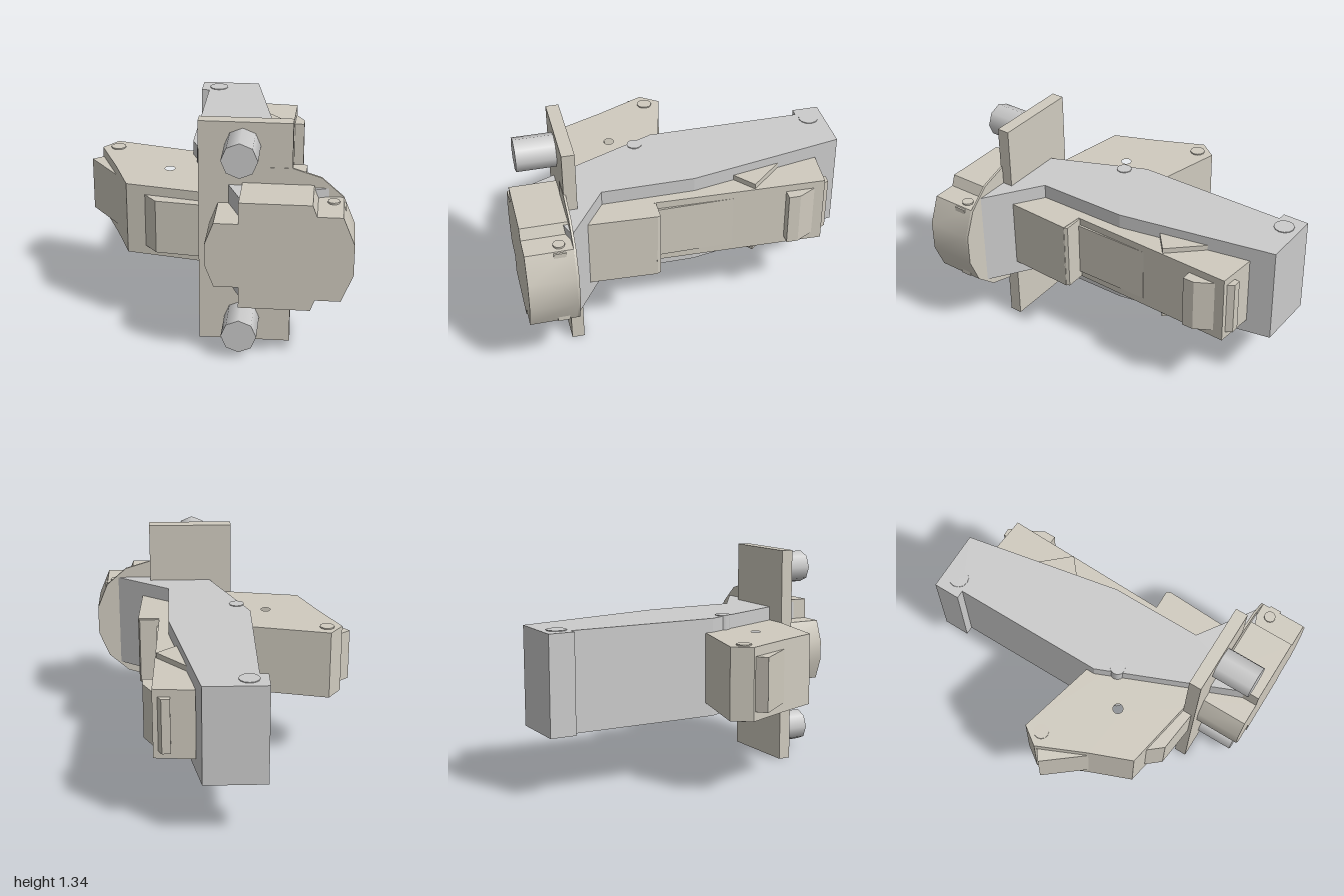
import * as THREE from 'three';
import { toCreasedNormals } from 'three/addons/utils/BufferGeometryUtils.js';

const MID = 0.67; // height of the mirror plane
const grey = new THREE.MeshStandardMaterial({ color: 0xcccccc });
const tan = new THREE.MeshStandardMaterial({ color: 0xd0cbbf });

export function createModel() {
  const group = new THREE.Group();

  function add(name, geometry, material) {
    const mesh = new THREE.Mesh(geometry, material);
    mesh.name = name;
    group.add(mesh);
    return mesh;
  }
  const shapeOf = (pts) => new THREE.Shape(pts.map(([x, y]) => new THREE.Vector2(x, y)));

  // Plan outline [x, z] extruded upward, centred on the mirror plane
  function slab(name, pts, height, material, hole) {
    const shape = shapeOf(pts.map(([x, z]) => [x, -z]));
    if (hole) shape.holes.push(new THREE.Path().absarc(hole[0], -hole[1], hole[2], 0, Math.PI * 2, true));
    const g = new THREE.ExtrudeGeometry(shape, { depth: height, bevelEnabled: false, curveSegments: 8 });
    g.rotateX(-Math.PI / 2).translate(0, MID - height / 2, 0);
    return add(name, g, material);
  }

  // Front outline: [x, distance from mirror plane], mirrored top to bottom, extruded in z
  function mirroredPlate(name, half, z0, z1, material) {
    const pts = [...half.map(([x, d]) => [x, MID + d]), ...half.slice().reverse().map(([x, d]) => [x, MID - d])];
    const g = new THREE.ExtrudeGeometry(shapeOf(pts), { depth: z1 - z0, bevelEnabled: false });
    g.translate(0, 0, z0);
    return add(name, toCreasedNormals(g, 0.5), material);
  }

  // Central beam, running through the plate into the head
  slab('mainBeam', [[-0.23, -1], [0.14, -1], [0.215, -0.61], [0.32, -0.06], [0.32, 0.49], [0.66, 0.72],
    [0.55, 0.76], [0.55, 0.92], [0.17, 0.92], [-0.18, 0.09], [-0.18, -0.84], [-0.23, -0.84]], 0.6, grey);

  // Right-hand housing block with a through hole and two stepped tabs
  slab('sideBlock', [[-0.66, -0.08], [-0.18, 0.04], [0.0, 0.2], [0.06, 0.66], [-0.08, 0.65],
    [-0.51, 0.57], [-0.61, 0.32], [-0.74, 0.03]], 0.43, tan, [-0.29, 0.325, 0.03]);
  slab('sideBlockOuterTab', [[-0.73, 0.04], [-0.795, 0.09], [-0.61, 0.32], [-0.58, 0.3]], 0.32, tan);
  slab('sideBlockFrontTab', [[-0.41, 0.58], [-0.33, 0.675], [-0.07, 0.705], [-0.07, 0.6]], 0.32, tan);

  // Long arm along the other side, with its raised details
  slab('sideArm', [[0.17, -0.855], [0.41, -0.835], [0.38, 0.195], [0.51, 0.205], [0.49, 0.61],
    [0.3, 0.5], [0.3, -0.06]], 0.425, tan);
  slab('armLip', [[0.38, 0.185], [0.5, 0.185], [0.51, 0.21], [0.38, 0.21]], 0.42, tan);
  slab('armPanel', [[0.36, 0.2], [0.395, 0.2], [0.394, -0.28], [0.36, -0.28]], 0.335, tan);
  slab('armCatch', [[0.39, -0.6], [0.465, -0.6], [0.465, -0.67], [0.405, -0.78], [0.39, -0.78]], 0.335, tan);
  slab('armEndTab', [[0.31, -0.83], [0.31, -0.875], [0.36, -0.875], [0.385, -0.83]], 0.335, tan);
  slab('triangularLever', [[0.21, -0.61], [0.39, -0.41], [0.27, -0.31]], 0.49, tan);

  // Mounting plate, thin flange and stepped front head
  mirroredPlate('mountingPlate', [[-0.08, 0.67], [0.44, 0.67]], 0.65, 0.725, tan);
  mirroredPlate('flange', [[0.3, 0.41], [0.44, 0.41], [0.6, 0.36], [0.725, 0.25], [0.79, 0.09]], 0.713, 0.727, tan);
  mirroredPlate('frontHead', [[-0.02, 0.06], [0.03, 0.19], [0.165, 0.19], [0.165, 0.315], [0.56, 0.315],
    [0.585, 0.25], [0.725, 0.25], [0.79, 0.09]], 0.725, 1, tan);

  // Round mounting pegs
  for (const y of [0.145, 1.205]) {
    const g = new THREE.CylinderGeometry(0.1, 0.1, 0.235, 8).rotateX(Math.PI / 2);
    add('mountingPeg', g, grey).position.set(0.165, y, 0.8375);
  }

  // Pivot pins standing slightly proud on top and bottom: x, z, radius, length
  const pins = [[0.67, 0.8, 0.034, 0.52, tan], [-0.645, 0.02, 0.045, 0.445, tan],
    [-0.1, 0.205, 0.045, 0.61, grey], [-0.12, -0.905, 0.06, 0.61, grey]];
  for (const [x, z, r, h, material] of pins) {
    add('pivotPin', new THREE.CylinderGeometry(r, r, h, 12), material).position.set(x, MID, z);
  }

  // Small ridges beside the head pin
  for (const s of [-1, 1]) {
    add('headRidge', new THREE.BoxGeometry(0.012, 0.03, 0.07), tan).position.set(0.733, MID + s * 0.228, 0.805);
  }
  return group;
}
